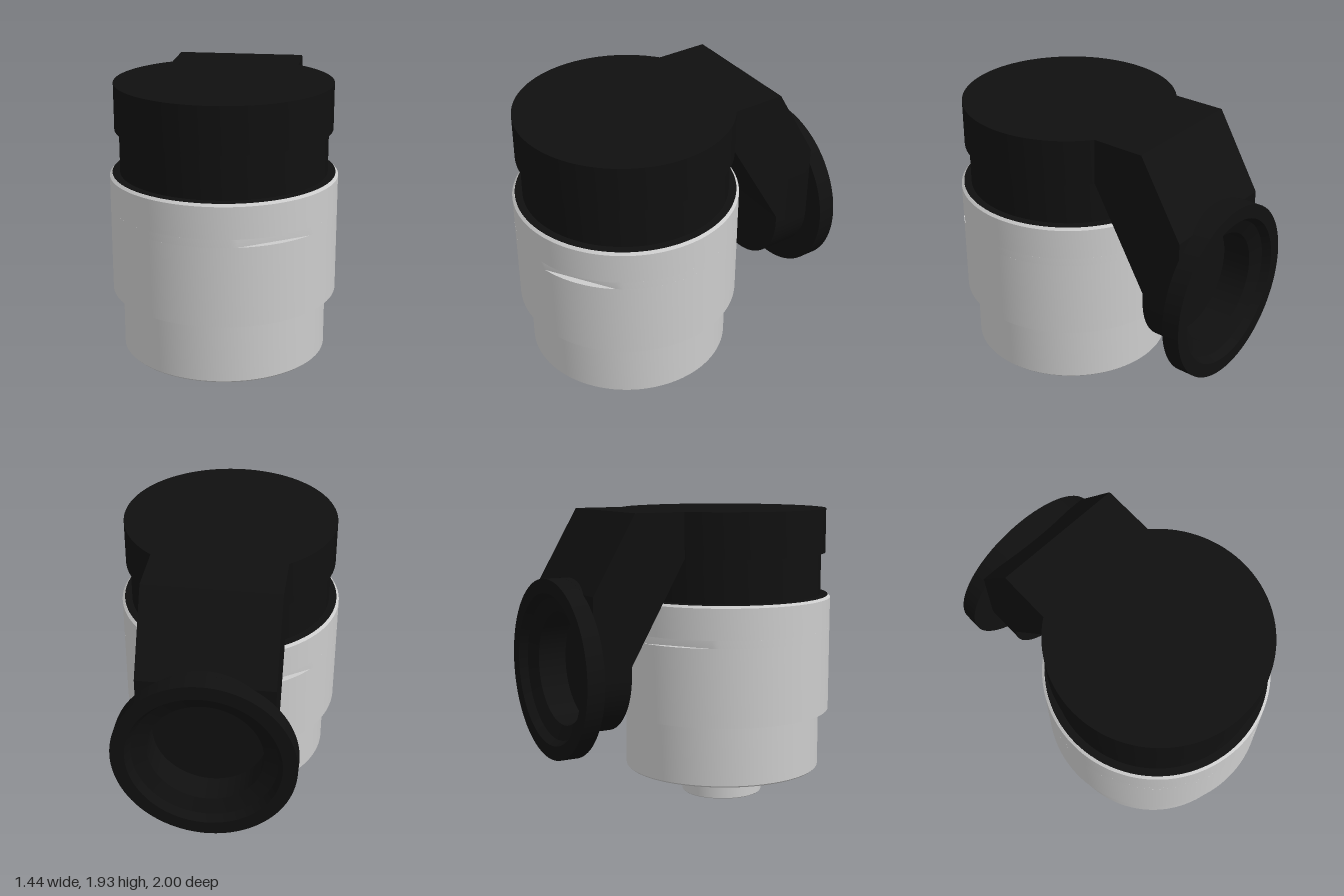
import * as THREE from 'three';
import { toCreasedNormals } from 'three/addons/utils/BufferGeometryUtils.js';

const AXIS_Z = 0.28;   // vertical axis of the round body
const PORT_Y = 0.95;   // centre height of the rear port
const ARM = 0.42;      // half width of the arm
const SEG = 96;

export function createModel() {
  const group = new THREE.Group();
  const grey = new THREE.MeshStandardMaterial({ color: 0xcccccc });
  const black = new THREE.MeshStandardMaterial({ color: 0x101010 });

  const add = (name, geometry, material) => {
    const mesh = new THREE.Mesh(toCreasedNormals(geometry, 0.5), material);
    mesh.name = name;
    group.add(mesh);
    return mesh;
  };
  const lathe = (pts) => new THREE.LatheGeometry(pts.map(([r, y]) => new THREE.Vector2(r, y)), SEG);
  const turned = (name, pts, material) => {
    add(name, lathe(pts), material).position.z = AXIS_Z;
  };
  const extrude = (shape, depth) =>
    new THREE.ExtrudeGeometry(shape, { depth, bevelEnabled: false, curveSegments: 48 });

  // Stem with a blind bore, then the stepped grey body
  turned('stem', [[0, 0.14], [0.065, 0.14], [0.065, 0], [0.265, 0], [0.27, 0.005], [0.27, 0.17]], grey);
  turned('basePlate', [[0.2, 0.16], [0.49, 0.16], [0.49, 0.2]], grey);
  turned('lowerBody', [[0.2, 0.19], [0.645, 0.19], [0.655, 0.2], [0.655, 0.6]], grey);
  turned('mainBody', [[0.6, 0.59], [0.72, 0.59], [0.72, 1.095], [0, 1.095]], grey);
  turned('collar', [[0, 1.145], [0.72, 1.145], [0.72, 1.345], [0.705, 1.36], [0.6, 1.36]], grey);

  // Band between body and collar, with two opposite wrench flats
  const band = new THREE.Shape();
  const arc = (from, to) => {
    for (let i = 0; i <= 40; i++) {
      const a = THREE.MathUtils.degToRad(from + (to - from) * i / 40);
      const x = 0.72 * Math.sin(a), z = 0.72 * Math.cos(a);
      if (i === 0 && from < 100) band.moveTo(x, z);
      else band.lineTo(x, z);
    }
  };
  arc(53, 194);
  arc(233, 374);
  band.closePath();
  const bandGeometry = extrude(band, 0.05).rotateX(Math.PI / 2);
  add('wrenchFlatBand', bandGeometry, grey).position.set(0, 1.145, AXIS_Z);

  // Black neck and cap
  turned('gasket', [[0.6, 1.35], [0.703, 1.35], [0.703, 1.363], [0.6, 1.363]], black);
  turned('cap', [[0.655, 1.355], [0.655, 1.64], [0.683, 1.64], [0.683, 1.93], [0, 1.93]], black);

  // Sloping arm: side profile as (z, y), extruded across x
  const profile = [
    [0, 1.93], [-0.6, 1.93], [-0.84, 1.52], [-0.885, 1.443], [-0.885, 1.33],
    [-0.71, 1.33], [-0.71, 0.95], [-0.63, 0.95], [-0.63, 1.0], [-0.26, 1.64], [0, 1.64],
  ];
  const side = new THREE.Shape(profile.map(([z, y]) => new THREE.Vector2(-z, y)));
  const armGeometry = extrude(side, 2 * ARM).translate(0, 0, -ARM).rotateY(Math.PI / 2);
  add('arm', armGeometry, black);

  // Round-bottomed housing around the port
  const housing = new THREE.Shape();
  housing.moveTo(-ARM, 0.4);
  housing.lineTo(-ARM, 0);
  housing.absarc(0, 0, ARM, Math.PI, 2 * Math.PI, false);
  housing.lineTo(ARM, 0.4);
  housing.closePath();
  housing.holes.push(new THREE.Path().absarc(0, 0, 0.37, 0, 2 * Math.PI, true));
  add('portHousing', extrude(housing, 0.175), black).position.set(0, PORT_Y, -0.885);

  const floor = new THREE.CylinderGeometry(ARM, ARM, 0.08, SEG).rotateX(Math.PI / 2);
  add('portFloor', floor, black).position.set(0, PORT_Y, -0.67);

  // Flange with chamfered recess and pocket, opening to the back
  const flange = lathe([
    [0.38, 0.885], [0.57, 0.885], [0.57, 1], [0.48, 1], [0.45, 0.95],
    [0.36, 0.91], [0.36, 0.72], [0, 0.72],
  ]).rotateX(-Math.PI / 2);
  add('portFlange', flange, black).position.y = PORT_Y;

  // Top of the flange where it runs into the slope
  const half = Math.acos(0.493 / 0.57);
  const crown = new THREE.Shape();
  crown.absarc(0, 0, 0.57, Math.PI / 2 - half, Math.PI / 2 + half, false);
  crown.closePath();
  add('flangeCrown', extrude(crown, 0.046), black).position.set(0, PORT_Y, -0.886);

  return group;
}
